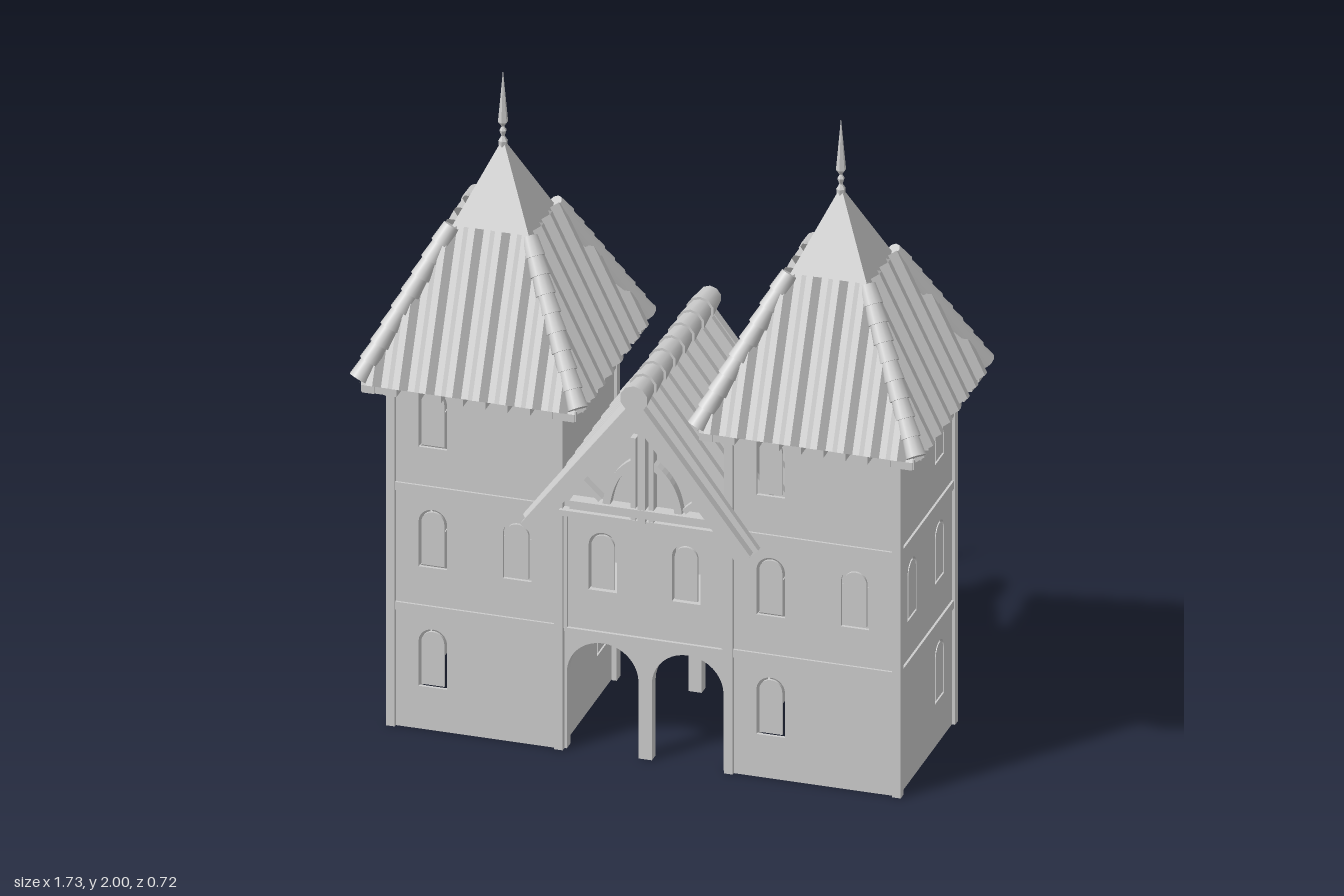
import * as THREE from 'three';

const stone = new THREE.MeshStandardMaterial({ color: 0xcccccc });
stone.name = 'pale grey';
stone.side = THREE.DoubleSide;

function add(parent, name, geo, x = 0, y = 0, z = 0) {
  const m = new THREE.Mesh(geo, stone);
  m.name = name;
  m.position.set(x, y, z);
  parent.add(m);
  return m;
}
const box = (w, h, d) => new THREE.BoxGeometry(w, h, d);
const extrude = (shape, depth) =>
  new THREE.ExtrudeGeometry(shape, { depth, bevelEnabled: false, curveSegments: 10 });
function flat(geo) {
  const g = geo.index ? geo.toNonIndexed() : geo;
  g.computeVertexNormals();
  return g;
}
function polygon(points) {
  return new THREE.Shape(points.map(([x, y]) => new THREE.Vector2(x, y)));
}
function arch(cx, y0, w, h) {
  const s = new THREE.Shape();
  s.moveTo(cx - w / 2, y0);
  s.lineTo(cx + w / 2, y0);
  s.lineTo(cx + w / 2, y0 + h - w / 2);
  s.absarc(cx, y0 + h - w / 2, w / 2, 0, Math.PI, false);
  s.closePath();
  return s;
}

// Wall with arched window openings and slightly smaller panes
function wall(parent, outline, windows, depth, z) {
  windows.forEach(([x, y]) => outline.holes.push(arch(x, y, 0.085, 0.185)));
  add(parent, 'wall', extrude(outline, depth), 0, 0, z);
  windows.forEach(([x, y]) =>
    add(parent, 'windowPane', extrude(arch(x, y + 0.008, 0.069, 0.169), 0.008), 0, 0, z + depth - 0.008));
}

// Ribbed tile sheet: x across, y up the slope, z outwards
function tiles(width, start, lengthAt) {
  const n = Math.round(width / 0.08) * 4, rib = [0, 1, 1, 0], pos = [], idx = [];
  for (let i = 0; i <= n; i++) {
    const x = -width / 2 + (width * i) / n, z = 0.004 + 0.022 * rib[i % 4];
    pos.push(x, start, z, x, Math.max(start, lengthAt(x)), z);
    if (i < n) idx.push(2 * i, 2 * i + 2, 2 * i + 1, 2 * i + 1, 2 * i + 2, 2 * i + 3);
  }
  const g = new THREE.BufferGeometry();
  g.setAttribute('position', new THREE.Float32BufferAttribute(pos, 3));
  g.setIndex(idx);
  return flat(g);
}

// Row of overlapping tapered round tiles from a to b
function ridge(parent, name, a, b, count, r) {
  const dir = b.clone().sub(a), len = dir.length() / count;
  const q = new THREE.Quaternion().setFromUnitVectors(new THREE.Vector3(0, 1, 0), dir.clone().normalize());
  for (let i = 0; i < count; i++) {
    const m = add(parent, name, new THREE.CylinderGeometry(r * 0.8, r, len * 1.08, 10));
    m.position.copy(a).addScaledVector(dir, (i + 0.5) / count);
    m.quaternion.copy(q);
  }
}

const EAVE = 1.11, APEX = 1.77, HALF = 0.32;

function towerRoof(parent) {
  const roof = new THREE.Group();
  roof.name = 'towerRoof';
  parent.add(roof);
  const rise = APEX - EAVE, slope = Math.hypot(HALF, rise);
  const cone = new THREE.CylinderGeometry(0.008, HALF * Math.SQRT2, rise, 4, 1, true);
  cone.rotateY(Math.PI / 4);
  add(roof, 'spire', flat(cone), 0, (EAVE + APEX) / 2, 0);
  for (let k = 0; k < 4; k++) {
    const side = new THREE.Group();
    side.name = 'roofSide';
    side.rotation.y = (k * Math.PI) / 2;
    roof.add(side);
    const sheet = tiles(HALF * 2, -0.01, x => Math.min(0.478, ((HALF - Math.abs(x)) / HALF) * slope));
    add(side, 'roofTiles', sheet, 0, EAVE, HALF).rotation.x = -Math.atan(HALF / rise);
    ridge(side, 'hipTile', new THREE.Vector3(0.33, 1.125, 0.325), new THREE.Vector3(0.118, 1.54, 0.118), 9, 0.03);
    // Rafter ends under the eaves
    for (let i = 0; i < 10; i++) add(side, 'rafterEnd', box(0.036, 0.032, 0.075), -0.3 + i * 0.0667, 1.092, 0.285);
  }
  // Finial
  const profile = [[0, 1.755], [0.012, 1.757], [0.014, 1.775], [0.005, 1.79], [0.011, 1.808], [0.004, 1.82],
    [0.015, 1.835], [0.009, 1.9], [0, 2]].map(([x, y]) => new THREE.Vector2(x, y));
  add(roof, 'finial', flat(new THREE.LatheGeometry(profile, 6)));
}

function tower(parent, sign) {
  const t = new THREE.Group();
  t.name = sign > 0 ? 'leftTower' : 'rightTower';
  t.position.x = 0.507 * sign;
  parent.add(t);
  const L = -0.128, R = 0.125, LOW = 0.135, MID = 0.515, TOP = 0.895;
  const both = [[L, MID], [R, MID]];
  const front = [...both, [L, LOW], [L, TOP]];
  // The outer side's rear windows swap ends on the mirrored tower
  const outer = [...both, [R * sign, LOW], [R * sign, TOP]];
  const inner = [[-R * sign, LOW]];
  const sides = [front, sign > 0 ? outer : inner, both, sign > 0 ? inner : outer];
  sides.forEach((windows, k) => {
    const side = new THREE.Group();
    side.name = 'towerSide';
    side.rotation.y = (k * Math.PI) / 2;
    t.add(side);
    wall(side, polygon([[-0.25, 0], [0.25, 0], [0.25, 1.1], [-0.25, 1.1]]), windows, 0.01, 0.245);
    add(side, 'cornerPost', box(0.026, 1.1, 0.026), 0.252, 0.55, 0.252);
    for (const y of [0.383, 0.763, 1.09]) add(side, 'beam', box(0.5, 0.025, 0.02), 0, y, 0.252);
  });
  towerRoof(t);
}

// Bent roof section: outer apex height, half width, drop and thickness
function chevron(apex, half, drop, thick) {
  const len = Math.hypot(half, drop), nx = (drop / len) * thick, ny = (half / len) * thick;
  return polygon([[0, apex], [-half, apex - drop], [-half + nx, apex - drop - ny],
    [0, apex - (thick * len) / half], [half - nx, apex - drop - ny], [half, apex - drop]]);
}

function gatehouse(parent) {
  const g = new THREE.Group();
  g.name = 'gatehouse';
  parent.add(g);
  for (const turn of [0, Math.PI]) {
    const face = new THREE.Group();
    face.name = turn ? 'rearGate' : 'frontGate';
    face.rotation.y = turn;
    g.add(face);
    // Wall with twin gateways and a gable
    const s = new THREE.Shape();
    s.moveTo(-0.25, 0);
    for (const x of [-0.1275, 0.1275]) {
      s.lineTo(x - 0.1075, 0);
      s.lineTo(x - 0.1075, 0.242);
      s.absarc(x, 0.242, 0.1075, Math.PI, 0, true);
      s.lineTo(x + 0.1075, 0);
    }
    s.lineTo(0.25, 0);
    s.lineTo(0.25, 0.8);
    s.lineTo(0, 1.15);
    s.lineTo(-0.25, 0.8);
    s.closePath();
    wall(face, s, [[-0.127, 0.515], [0.123, 0.515]], 0.035, 0.213);
    add(face, 'beam', box(0.48, 0.012, 0.016), 0, 0.382, 0.25);
    for (const sx of [-1, 1]) add(face, 'sidePost', box(0.01, 0.36, 0.014), sx * 0.237, 0.565, 0.25);
    // Timber frame in the gable
    add(face, 'tieBeam', box(0.5, 0.018, 0.03), 0, 0.76, 0.262);
    add(face, 'collarBeam', box(0.43, 0.026, 0.04), 0, 0.795, 0.267);
    add(face, 'kingPost', box(0.022, 0.37, 0.04), 0, 0.95, 0.265);
    for (const sx of [-1, 1]) {
      add(face, 'queenPost', box(0.016, 0.26, 0.03), sx * 0.027, 0.9, 0.262);
      const band = new THREE.Shape();
      band.moveTo(sx * 0.12, 0.8);
      band.quadraticCurveTo(sx * 0.11, 0.91, sx * 0.03, 0.96);
      band.lineTo(sx * 0.03, 0.935);
      band.quadraticCurveTo(sx * 0.085, 0.9, sx * 0.098, 0.8);
      band.closePath();
      add(face, 'curvedBrace', extrude(band, 0.03), 0, 0, 0.246);
      const strut = add(face, 'strut', box(0.08, 0.016, 0.03), sx * 0.155, 0.845, 0.262);
      strut.rotation.z = sx * 0.75;
    }
    add(face, 'bargeboard', extrude(chevron(1.19, 0.345, 0.45, 0.05), 0.028), 0, 0, 0.314);
  }
  add(g, 'passageCeiling', box(0.5, 0.02, 0.44), 0, 0.365, 0);
  // Tiled gable roof
  add(g, 'roofBoard', extrude(chevron(1.175, 0.335, 0.45, 0.02), 0.64), 0, 0, -0.32);
  for (const sx of [-1, 1]) {
    const half = new THREE.Group();
    half.name = 'gableRoofSide';
    half.rotation.y = (sx * Math.PI) / 2;
    g.add(half);
    const sheet = tiles(0.64, 0, () => Math.hypot(0.335, 0.45));
    add(half, 'roofTiles', sheet, 0, 0.725, 0.335).rotation.x = -Math.atan(0.335 / 0.45);
  }
  ridge(g, 'ridgeTile', new THREE.Vector3(0, 1.192, 0.35), new THREE.Vector3(0, 1.192, -0.35), 8, 0.042);
}

export function createModel() {
  const model = new THREE.Group();
  model.name = 'twinTowerGate';
  tower(model, -1);
  tower(model, 1);
  gatehouse(model);
  return model;
}
